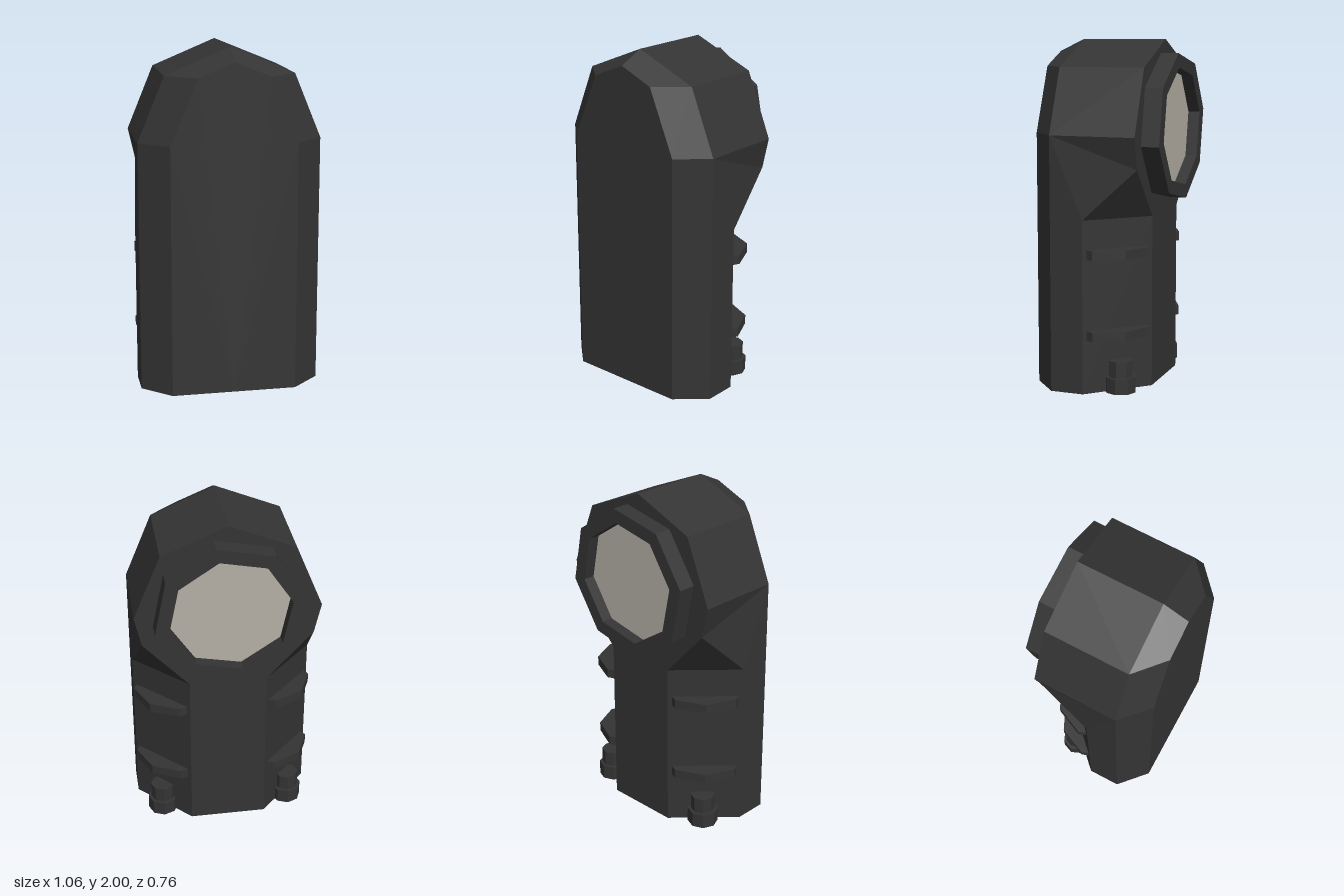
import * as THREE from 'three';

const dark = new THREE.MeshStandardMaterial({ color: 0x343434, flatShading: true });
const glass = new THREE.MeshStandardMaterial({ color: 0xb5b0a6, flatShading: true });

function part(name, geometry, material = dark) {
  const mesh = new THREE.Mesh(geometry, material);
  mesh.name = name;
  return mesh;
}

// Faceted casing: faces of the +x half, mirrored across x = 0
function casingGeometry() {
  const back = -0.275;
  const front = [[0.365, 0, 0.38], [0.365, 1.47, 0.38], [0.205, 1.845, 0.38], [0, 1.93, 0.38]];
  const rim = [[0.53, 0, 0.23], [0.53, 1.47, 0.23], [0.375, 1.845, 0.23], [0, 2, 0.23]];
  const rear = rim.map(([x, y]) => [x, y, back]);
  const notch = [0.49, 1.29, back];
  const sideLow = [0.53, 0, 0.035], sideHigh = [0.53, 1, 0.035];
  const backLow = [0.225, 0, back], backHigh = [0.225, 1, back];
  const faces = [
    [[0, 0, 0.38], ...front],
    [rim[1], rim[0], sideLow, sideHigh, notch],
    [rim[1], notch, rear[1]],
    [sideLow, backLow, backHigh, sideHigh],
    [sideHigh, backHigh, notch],
    [rear[3], rear[2], rear[1], notch, backHigh, backLow, [0, 0, back]],
    [[0, 0, 0.38], [0, 0, back], backLow, sideLow, rim[0], front[0]],
  ];
  for (let i = 0; i < 3; i++) {
    faces.push([front[i], rim[i], rim[i + 1], front[i + 1]]);
    if (i > 0) faces.push([rim[i], rear[i], rear[i + 1], rim[i + 1]]);
  }
  const positions = [];
  const flip = ([x, y, z]) => [-x, y, z];
  for (const f of faces) {
    for (let i = 1; i < f.length - 1; i++) {
      positions.push(...f[0], ...f[i], ...f[i + 1]);
      positions.push(...flip(f[0]), ...flip(f[i + 1]), ...flip(f[i]));
    }
  }
  const geometry = new THREE.BufferGeometry();
  geometry.setAttribute('position', new THREE.Float32BufferAttribute(positions, 3));
  geometry.computeVertexNormals();
  return geometry;
}

// Corners of the tilted octagon used by the lens and its bezel
function octagon(radius) {
  return Array.from({ length: 8 }, (_, i) => {
    const a = THREE.MathUtils.degToRad(34 + 45 * i);
    return new THREE.Vector2(radius * Math.cos(a), radius * Math.sin(a));
  });
}

function extrude(shape, depth) {
  return new THREE.ExtrudeGeometry(shape, { depth, bevelEnabled: false });
}

// Wedge-shaped rib lying along a slanted rear face
function ribGeometry() {
  const outline = [[-0.196, -0.01], [0.196, -0.01], [0.175, 0.042], [0, 0.107], [-0.175, 0.042]];
  return extrude(new THREE.Shape(outline.map(([x, y]) => new THREE.Vector2(x, y))), 0.055);
}

export function createModel() {
  const model = new THREE.Group();
  model.name = 'lensUnit';
  model.add(part('casing', casingGeometry()));

  // Octagonal bezel with a recessed lens on the back
  const ring = new THREE.Shape(octagon(0.433));
  ring.holes.push(new THREE.Path(octagon(0.35)));
  const bezel = part('lensBezel', extrude(ring, 0.106));
  bezel.position.set(0, 1.495, -0.38);
  const lens = part('lens', extrude(new THREE.Shape(octagon(0.35)), 0.034), glass);
  lens.position.set(0, 1.495, -0.31);
  model.add(bezel, lens);

  const up = new THREE.Vector3(0, 1, 0);
  for (const side of [1, -1]) {
    const name = side > 0 ? 'left' : 'right';

    // Two ribs on each slanted face
    const outward = new THREE.Vector3(side * 0.31, 0, -0.305).normalize();
    const along = outward.clone().cross(up);
    for (const [label, y] of [['Lower', 0.31], ['Upper', 0.775]]) {
      const rib = part(name + label + 'Rib', ribGeometry());
      rib.quaternion.setFromRotationMatrix(new THREE.Matrix4().makeBasis(along, outward, up));
      rib.position.set(side * 0.3775, y, -0.12);
      model.add(rib);
    }

    // Stepped peg at the foot of each slanted face
    const peg = new THREE.Group();
    peg.name = name + 'Peg';
    const base = part('pegBase', new THREE.CylinderGeometry(0.09, 0.09, 0.09, 8));
    base.position.y = 0.045;
    const top = part('pegTop', new THREE.CylinderGeometry(0.072, 0.072, 0.105, 8));
    top.position.y = 0.1325;
    peg.add(base, top);
    peg.position.set(side * 0.39, 0, -0.143);
    model.add(peg);
  }
  return model;
}
